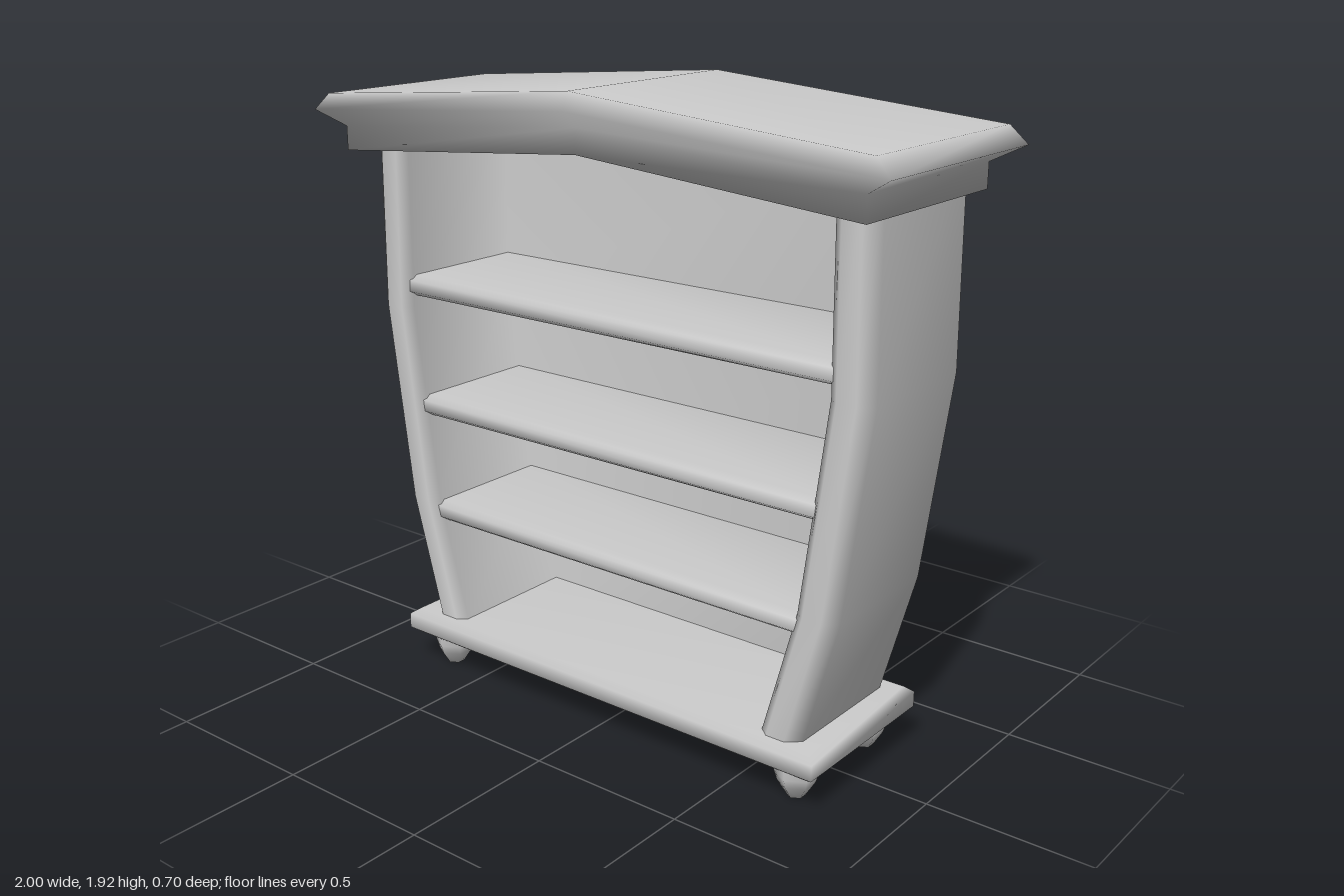
import * as THREE from 'three';

const material = new THREE.MeshStandardMaterial({ color: 0xcccccc });

// Smooth skin over matching rings of [x, y, z] points, optionally capped at both ends
function loft(rings, capped = true) {
  const n = rings[0].length, last = (rings.length - 1) * n, index = [];
  for (let r = 0; r < rings.length - 1; r++) {
    for (let i = 0; i < n; i++) {
      const a = r * n + i, b = r * n + (i + 1) % n;
      index.push(a, a + n, b, b, a + n, b + n);
    }
  }
  if (capped) {
    for (let k = 2; k < n; k++) {
      const i = k, j = (k + 1) % n;
      index.push(1, i, j, last + 1, last + j, last + i);
    }
  }
  const geometry = new THREE.BufferGeometry();
  geometry.setAttribute('position', new THREE.Float32BufferAttribute(rings.flat(2), 3));
  geometry.setIndex(index);
  geometry.computeVertexNormals();
  return geometry;
}

function add(parent, name, geometry, x = 0, y = 0, z = 0) {
  const mesh = new THREE.Mesh(geometry, material);
  mesh.name = name;
  mesh.position.set(x, y, z);
  parent.add(mesh);
  return mesh;
}

// Curved case: height, outer half width; the walls are 0.13 thick
const levels = [[0.17, 0.7], [0.57, 0.81], [1.19, 0.892], [1.78, 0.887]];
const wall = 0.13;

function innerHalfWidth(y) {
  const k = levels.findIndex((l) => l[0] > y);
  const [y0, w0] = levels[k - 1], [y1, w1] = levels[k];
  return w0 + (w1 - w0) * (y - y0) / (y1 - y0) - wall;
}

// U-shaped outline with bevelled corners, open towards the front
function caseRing([y, o]) {
  const i = o - wall;
  const right = [
    [o - 0.045, -0.24], [o, -0.205], [o, 0.205], [o - 0.04, 0.24],
    [i + 0.03, 0.24], [i, 0.215], [i, -0.21],
  ];
  const left = right.map(([x, z]) => [-x, z]).reverse();
  return [...right, ...left].map(([x, z]) => [x, y, z]);
}

// Shallow gabled outline, raised in the middle
function roofRing([hx, hz, y, rise]) {
  return [
    [-hx, y, -hz], [0, y + rise, -hz], [hx, y, -hz],
    [hx, y, hz], [0, y + rise, hz], [-hx, y, hz],
  ];
}

export function createModel() {
  const group = new THREE.Group();
  group.name = 'bookcase';
  const cabinet = new THREE.Group();
  cabinet.name = 'cabinet';
  cabinet.position.x = 0.014;
  group.add(cabinet);

  // Side walls and back
  add(cabinet, 'case', loft(levels.map(caseRing), false));

  // Shelves with rounded front edges, let into the side walls
  for (const y of [0.535, 0.878, 1.258]) {
    const w = innerHalfWidth(y) + 0.03;
    const section = [
      [-0.225, -0.033], [0.2, -0.033], [0.222, -0.018],
      [0.222, 0.018], [0.2, 0.033], [-0.225, 0.033],
    ];
    const rings = [-w, w].map((x) => section.map(([z, h]) => [x, h, z]));
    add(cabinet, 'shelf', loft(rings), 0, y, 0);
  }

  // Plinth with bevelled edges
  const plinth = [[0.1, 0.75, 0.25], [0.12, 0.78, 0.277], [0.168, 0.78, 0.277], [0.186, 0.755, 0.255]];
  add(cabinet, 'plinth', loft(plinth.map(([y, hx, hz]) =>
    [[-hx, y, -hz], [hx, y, -hz], [hx, y, hz], [-hx, y, hz]])));

  // Six-sided feet
  const footProfile = [[0, 0], [0.028, 0], [0.055, 0.042], [0.064, 0.07], [0.064, 0.115]]
    .map(([r, y]) => new THREE.Vector2(r, y));
  const foot = new THREE.LatheGeometry(footProfile, 6);
  for (const x of [-0.672, 0.672]) {
    for (const z of [-0.182, 0.182]) add(cabinet, 'foot', foot, x, 0, z);
  }

  // Gabled roof with the cornice beneath it
  add(group, 'roof', loft([
    [0.912, 0.305, 1.672, 0.075],
    [0.912, 0.305, 1.745, 0.075],
    [1, 0.35, 1.792, 0.075],
    [0.95, 0.335, 1.843, 0.077],
  ].map(roofRing)));

  return group;
}
